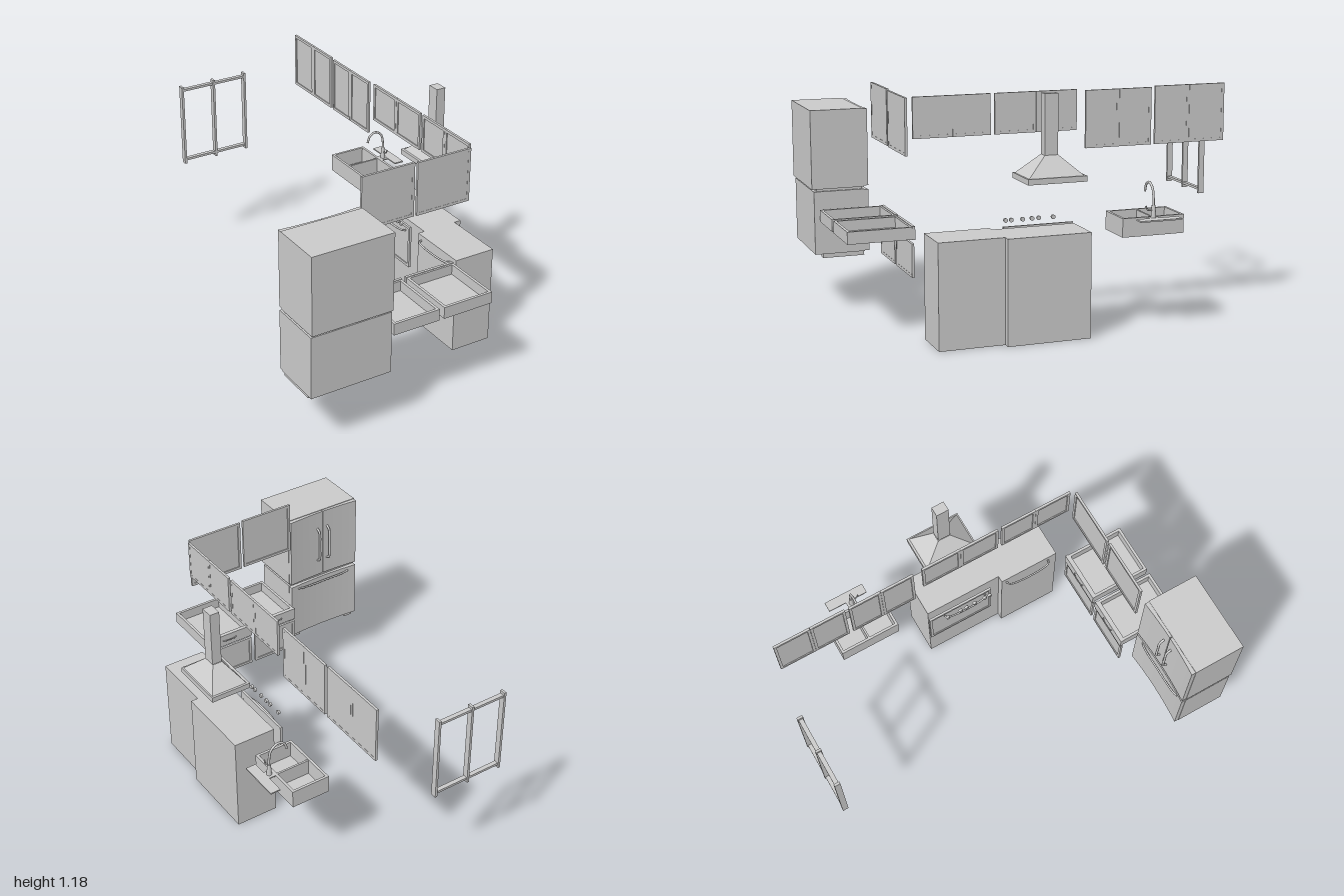
import * as THREE from 'three';

const mat = new THREE.MeshStandardMaterial({ color: 0xcccccc, side: THREE.DoubleSide });

function add(parent, name, geometry) {
  const mesh = new THREE.Mesh(geometry, mat);
  mesh.name = name;
  parent.add(mesh);
  return mesh;
}

// Box given by its limits on each axis
function box(parent, name, x0, x1, y0, y1, z0, z1) {
  const m = add(parent, name, new THREE.BoxGeometry(x1 - x0, y1 - y0, z1 - z0));
  m.position.set((x0 + x1) / 2, (y0 + y1) / 2, (z0 + z1) / 2);
  return m;
}

function tube(parent, name, points, radius, segments = 24) {
  const curve = new THREE.CatmullRomCurve3(points.map(p => new THREE.Vector3(...p)));
  return add(parent, name, new THREE.TubeGeometry(curve, segments, radius, 8));
}

function section(parent, name) {
  const g = new THREE.Group();
  g.name = name;
  parent.add(g);
  return g;
}

// Framed cabinet door, made facing +z and then turned
function cabinetDoor(parent, name, w, h, position, turn) {
  const g = section(parent, name), f = 0.014;
  const shape = new THREE.Shape([[-w, -h], [w, -h], [w, h], [-w, h]].map(p => new THREE.Vector2(p[0] / 2, p[1] / 2)));
  const a = w / 2 - f, b = h / 2 - f;
  shape.holes.push(new THREE.Path([[-a, -b], [-a, b], [a, b], [a, -b]].map(p => new THREE.Vector2(...p))));
  add(g, 'doorFrame', new THREE.ExtrudeGeometry(shape, { depth: 0.012, bevelEnabled: false })).position.z = -0.006;
  box(g, 'doorPanel', -a, a, -b, b, -0.005, 0.001);
  g.position.set(...position);
  g.rotation.y = turn;
}

// Open-topped tray with wall thickness t
function tray(parent, name, x0, x1, y0, y1, z0, z1, t) {
  box(parent, name + 'Floor', x0, x1, y0, y0 + 0.008, z0, z1);
  for (const [a, b] of [[x0, x0 + t], [x1 - t, x1]]) box(parent, name + 'Side', a, b, y0, y1, z0, z1);
  for (const [a, b] of [[z0, z0 + t], [z1 - t, z1]]) box(parent, name + 'End', x0 + t, x1 - t, y0, y1, a, b);
}

// Slightly bowed appliance door facing -z
function bowedDoor(parent, name, x0, x1, y0, y1) {
  const centre = -0.48, half = 0.21;
  const bow = x => -0.713 + 0.010 * ((x - centre) / half) ** 2;
  const s = new THREE.Shape();
  s.moveTo(x0, -0.732);
  for (let i = 0; i <= 10; i++) {
    const x = x0 + (x1 - x0) * i / 10;
    s.lineTo(x, bow(x) - 0.004);
  }
  s.lineTo(x1, -0.732);
  // Profile is drawn in x and -z, then stood upright
  const m = add(parent, name, new THREE.ExtrudeGeometry(s, { depth: y1 - y0, bevelEnabled: false }));
  m.rotation.x = -Math.PI / 2;
  m.position.y = y0;
}

function buildFridge(root) {
  const g = section(root, 'fridge');
  box(g, 'fridgeUpperBody', -0.69, -0.27, 0.635, 1.03, 0.73, 0.995);
  box(g, 'fridgeLowerBody', -0.69, -0.27, 0.305, 0.623, 0.73, 0.985);
  box(g, 'fridgeNeck', -0.68, -0.28, 0.62, 0.64, 0.74, 0.97);
  bowedDoor(g, 'fridgeDoorRight', -0.688, -0.482, 0.64, 1.027);
  bowedDoor(g, 'fridgeDoorLeft', -0.478, -0.272, 0.64, 1.027);
  bowedDoor(g, 'freezerDrawer', -0.688, -0.272, 0.308, 0.62);
  for (const x of [-0.508, -0.447])
    tube(g, 'fridgeHandle', [[x, 0.73, 0.72], [x, 0.745, 0.698], [x, 0.83, 0.694], [x, 0.915, 0.698], [x, 0.93, 0.72]], 0.006);
  tube(g, 'freezerHandle', [[-0.65, 0.598, 0.72], [-0.63, 0.598, 0.708], [-0.48, 0.598, 0.703], [-0.33, 0.598, 0.708], [-0.31, 0.598, 0.72]], 0.005);
  for (const x of [-0.68, -0.337]) box(g, 'fridgeFoot', x, x + 0.046, 0.28, 0.306, 0.73, 0.94);
}

function buildCabinets(root) {
  const g = section(root, 'cabinets');
  // Wall doors beside the fridge
  cabinetDoor(g, 'wallDoor', 0.285, 0.275, [-0.108, 1.023, 0.686], Math.PI);
  cabinetDoor(g, 'wallDoor', 0.295, 0.272, [0.198, 1.019, 0.686], Math.PI);
  // Wall doors along the left side: z limits, y limits
  const rows = [
    [0.468, 0.66, 0.965, 1.16], [0.28, 0.467, 0.965, 1.16],
    [0.053, 0.26, 0.965, 1.16], [-0.155, 0.052, 0.965, 1.16],
    [-0.377, -0.202, 0.873, 1.153], [-0.547, -0.378, 0.873, 1.153],
    [-0.751, -0.567, 0.873, 1.158], [-0.942, -0.752, 0.873, 1.158]
  ];
  for (const [z0, z1, y0, y1] of rows)
    cabinetDoor(g, 'sideWallDoor', z1 - z0, y1 - y0, [0.36, (y0 + y1) / 2, (z0 + z1) / 2], -Math.PI / 2);
  // Open drawers with doors below
  for (const [x0, x1] of [[-0.245, 0.008], [0.03, 0.304]]) {
    const d = section(g, 'drawer'), c = (x0 + x1) / 2;
    tray(d, 'drawer', x0 + 0.002, x1 - 0.002, 0.477, 0.537, 0.646, 0.963, 0.014);
    box(d, 'drawerFront', x0, x1, 0.475, 0.54, 0.636, 0.65);
    tube(d, 'drawerHandle', [[c - 0.04, 0.51, 0.638], [c - 0.033, 0.51, 0.63], [c + 0.033, 0.51, 0.63], [c + 0.04, 0.51, 0.638]], 0.003);
    cabinetDoor(g, 'baseDoor', x1 - x0, 0.165, [c, 0.375, 0.648], Math.PI);
  }
}

function buildRange(root) {
  const g = section(root, 'appliances');
  box(g, 'dishwasher', 0.35, 0.57, 0, 0.515, 0.283, 0.608);
  tube(g, 'dishwasherHandle', [[0.35, 0.485, 0.31], [0.33, 0.485, 0.32], [0.33, 0.485, 0.55], [0.35, 0.485, 0.56]], 0.005);
  box(g, 'ovenBody', 0.385, 0.607, 0, 0.515, -0.135, 0.283);
  // Oven door standing clear of the body
  cabinetDoor(g, 'ovenDoor', 0.36, 0.23, [0.349, 0.4, 0.035], -Math.PI / 2);
  tube(g, 'ovenHandle', [[0.345, 0.485, -0.06], [0.33, 0.485, -0.05], [0.33, 0.485, 0.17], [0.345, 0.485, 0.18]], 0.005);
  for (const z of [0.187, 0.158, 0.1, 0.052, 0.017, -0.058]) {
    const k = add(g, 'knob', new THREE.CylinderGeometry(0.010, 0.011, 0.012, 16));
    k.rotation.z = Math.PI / 2;
    k.position.set(0.309, 0.537, z);
  }
}

function buildHood(root) {
  const g = section(root, 'hood');
  box(g, 'chimney', 0.56, 0.61, 0.895, 1.18, 0.038, 0.104);
  // Tapered canopy between two rectangles
  const canopy = new THREE.CylinderGeometry(Math.SQRT1_2, Math.SQRT1_2, 0.095, 4, 1, true, Math.PI / 4).toNonIndexed();
  const p = canopy.attributes.position;
  for (let i = 0; i < p.count; i++) {
    const top = p.getY(i) > 0;
    p.setX(i, Math.sign(p.getX(i)) * (top ? 0.025 : 0.096) + 0.584);
    p.setZ(i, Math.sign(p.getZ(i)) * (top ? 0.033 : 0.138) + 0.07);
  }
  canopy.computeVertexNormals();
  add(g, 'canopy', canopy).position.y = 0.8475;
  // Rim left open below
  for (const [a, b] of [[0.476, 0.496], [0.665, 0.685]]) box(g, 'hoodRim', a, b, 0.775, 0.802, -0.077, 0.213);
  for (const [a, b] of [[-0.077, -0.057], [0.193, 0.213]]) box(g, 'hoodRim', 0.496, 0.665, 0.775, 0.802, a, b);
  box(g, 'hoodFilter', 0.49, 0.67, 0.796, 0.801, -0.06, 0.2);
}

function buildSink(root) {
  const g = section(root, 'sink');
  tray(g, 'sink', 0.392, 0.593, 0.473, 0.565, -0.62, -0.3, 0.013);
  box(g, 'sinkDivider', 0.405, 0.58, 0.48, 0.56, -0.468, -0.458);
  box(g, 'faucetPlate', 0.628, 0.68, 0.558, 0.565, -0.57, -0.355);
  box(g, 'faucetBridge', 0.593, 0.64, 0.558, 0.564, -0.475, -0.425);
  const base = add(g, 'faucetBase', new THREE.CylinderGeometry(0.009, 0.013, 0.06, 16));
  base.position.set(0.612, 0.593, -0.45);
  tube(g, 'faucetSpout', [[0.612, 0.6, -0.45], [0.611, 0.655, -0.45], [0.598, 0.703, -0.45], [0.562, 0.726, -0.45],
    [0.527, 0.71, -0.45], [0.513, 0.675, -0.45]], 0.006, 32);
  tube(g, 'faucetLever', [[0.612, 0.6, -0.45], [0.612, 0.603, -0.42], [0.612, 0.622, -0.41]], 0.004, 10);
}

function buildWindow(root) {
  const g = section(root, 'windowFrame');
  for (const x of [-0.316, -0.131, 0.054]) box(g, 'windowPost', x - 0.006, x + 0.006, 0.545, 0.99, -0.998, -0.968);
  for (const y of [0.567, 0.97]) box(g, 'windowRail', -0.316, 0.054, y - 0.006, y + 0.006, -0.994, -0.972);
}

export function createModel() {
  const root = new THREE.Group();
  root.name = 'kitchen';
  buildFridge(root);
  buildCabinets(root);
  buildRange(root);
  buildHood(root);
  buildSink(root);
  buildWindow(root);
  return root;
}
